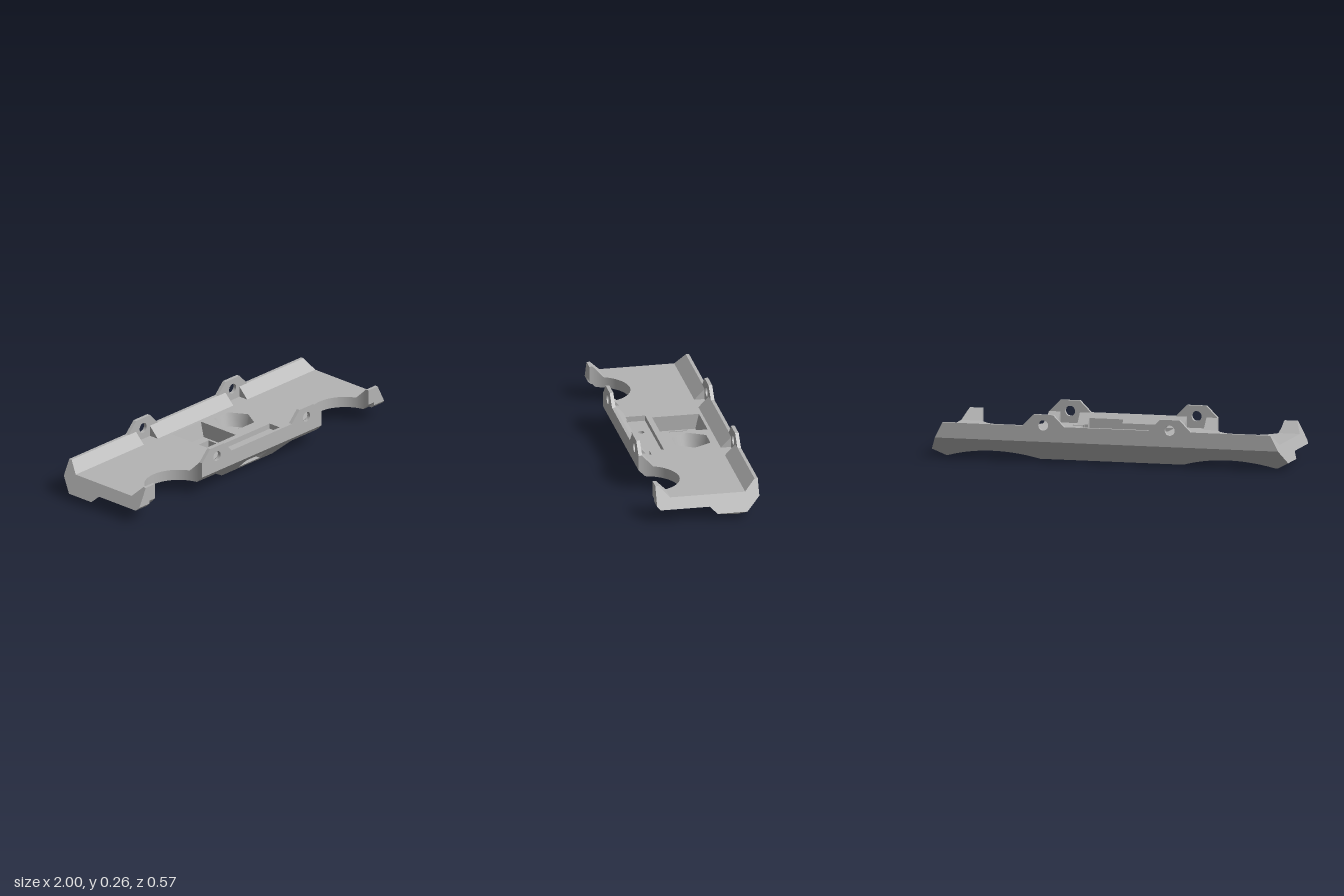
import * as THREE from 'three';

// ---- Small solid-cutting helper (BSP tree) ----
const EPS = 1e-5;
const flipPoly = (q) => ({
  v: q.v.map((a) => ({ p: a.p, n: a.n.clone().negate() })).reverse(),
  n: q.n.clone().negate(), w: -q.w,
});

function toPolys(geometry) {
  const g = geometry.index ? geometry.toNonIndexed() : geometry;
  const P = g.attributes.position, N = g.attributes.normal, out = [];
  for (let i = 0; i < P.count; i += 3) {
    const v = [0, 1, 2].map((k) => ({
      p: new THREE.Vector3().fromBufferAttribute(P, i + k),
      n: new THREE.Vector3().fromBufferAttribute(N, i + k),
    }));
    const n = v[1].p.clone().sub(v[0].p).cross(v[2].p.clone().sub(v[0].p));
    if (n.length() < 1e-10) continue;
    n.normalize();
    out.push({ v, n, w: n.dot(v[0].p) });
  }
  return out;
}

function split(plane, poly, coFront, coBack, front, back) {
  const d = poly.v.map((a) => plane.n.dot(a.p) - plane.w);
  const hasF = d.some((t) => t > EPS), hasB = d.some((t) => t < -EPS);
  if (!hasF && !hasB) (plane.n.dot(poly.n) > 0 ? coFront : coBack).push(poly);
  else if (!hasB) front.push(poly);
  else if (!hasF) back.push(poly);
  else {
    const f = [], b = [];
    poly.v.forEach((a, i) => {
      const j = (i + 1) % poly.v.length, c = poly.v[j];
      if (d[i] >= -EPS) f.push(a);
      if (d[i] <= EPS) b.push(a);
      if ((d[i] > EPS && d[j] < -EPS) || (d[i] < -EPS && d[j] > EPS)) {
        const t = d[i] / (d[i] - d[j]);
        const m = { p: a.p.clone().lerp(c.p, t), n: a.n.clone().lerp(c.n, t).normalize() };
        f.push(m);
        b.push(m);
      }
    });
    if (f.length > 2) front.push({ v: f, n: poly.n, w: poly.w });
    if (b.length > 2) back.push({ v: b, n: poly.n, w: poly.w });
  }
}

class Tree {
  constructor(polys) { this.polys = []; if (polys) this.build(polys); }
  build(list) {
    if (!list.length) return;
    if (!this.plane) this.plane = { n: list[0].n.clone(), w: list[0].w };
    const f = [], b = [];
    for (const q of list) split(this.plane, q, this.polys, this.polys, f, b);
    if (f.length) (this.front ??= new Tree()).build(f);
    if (b.length) (this.back ??= new Tree()).build(b);
  }
  invert() {
    this.polys = this.polys.map(flipPoly);
    this.plane.n.negate();
    this.plane.w *= -1;
    this.front?.invert();
    this.back?.invert();
    [this.front, this.back] = [this.back, this.front];
  }
  clip(list) {
    if (!this.plane) return list;
    let f = [], b = [];
    for (const q of list) split(this.plane, q, f, b, f, b);
    if (this.front) f = this.front.clip(f);
    b = this.back ? this.back.clip(b) : [];
    return f.concat(b);
  }
  clipTo(t) {
    this.polys = t.clip(this.polys);
    this.front?.clipTo(t);
    this.back?.clipTo(t);
  }
  all() {
    return [...this.polys, ...(this.front ? this.front.all() : []), ...(this.back ? this.back.all() : [])];
  }
}

function subtract(A, B) {
  const a = new Tree(A), b = new Tree(B);
  a.invert(); a.clipTo(b); b.clipTo(a);
  b.invert(); b.clipTo(a); b.invert();
  a.build(b.all()); a.invert();
  return a.all();
}

function intersect(A, B) {
  const a = new Tree(A), b = new Tree(B);
  a.invert(); b.clipTo(a); b.invert();
  a.clipTo(b); b.clipTo(a);
  a.build(b.all()); a.invert();
  return a.all();
}

function toGeometry(polys) {
  const pos = [], nor = [];
  for (const q of polys)
    for (let i = 2; i < q.v.length; i++)
      for (const a of [q.v[0], q.v[i - 1], q.v[i]]) {
        pos.push(...a.p.toArray());
        nor.push(...a.n.toArray());
      }
  const g = new THREE.BufferGeometry();
  g.setAttribute('position', new THREE.Float32BufferAttribute(pos, 3));
  g.setAttribute('normal', new THREE.Float32BufferAttribute(nor, 3));
  return g;
}

// ---- Shape helpers ----
const outline = (pts) => new THREE.Shape(pts.map(([a, b]) => new THREE.Vector2(a, b)));
const extrude = (shape, depth) =>
  new THREE.ExtrudeGeometry(shape, { depth, bevelEnabled: false, curveSegments: 16 });
// (z, y) section swept along x
const alongX = (pts, x0, x1) =>
  extrude(outline(pts.map(([z, y]) => [-z, y])), x1 - x0).rotateY(Math.PI / 2).translate(x0, 0, 0);
// (x, y) section swept along z
const alongZ = (pts, z0, z1) => extrude(outline(pts), z1 - z0).translate(0, 0, z0);
const box = (x0, x1, y0, y1, z0, z1) =>
  new THREE.BoxGeometry(x1 - x0, y1 - y0, z1 - z0)
    .translate((x0 + x1) / 2, (y0 + y1) / 2, (z0 + z1) / 2);
const drum = (x, z, y0, y1, r0, r1, sides) =>
  new THREE.CylinderGeometry(r1, r0, y1 - y0, sides)
    .rotateY(Math.PI / 2).translate(x, (y0 + y1) / 2, z);

export function createModel() {
  const grey = new THREE.MeshStandardMaterial({ color: 0xb4b4b4 });
  grey.name = 'plain grey';
  const group = new THREE.Group();
  group.name = 'basePlate';

  // Trough section trimmed by the slanted ends
  const section = [[-0.173, 0], [0.19, 0], [0.283, 0.093], [0.283, 0.195], [0.265, 0.195],
    [0.207, 0.135], [-0.207, 0.135], [-0.265, 0.195], [-0.283, 0.195], [-0.283, 0.11]];
  const ends = [[-0.93, 0], [0.93, 0], [1, 0.037], [0.92, 0.195], [-0.92, 0.195], [-1, 0.037]];
  const lift = ends.map(([x, y]) => [x, y]);
  let body = intersect(toPolys(alongX(section, -1.1, 1.1)), toPolys(alongZ(lift, -0.4, 0.4)));

  const cuts = [
    // front lower bevel
    alongX([[0.153, -0.02], [0.303, 0.13], [0.36, -0.02]], -0.89, 0.89),
  ];
  for (const s of [-1, 1]) {
    cuts.push(
      drum(s * 0.66, 0.21, -0.05, 0.075, 0.512, 0.387, 96), // conical scoop underneath
      drum(s * 0.66, 0.285, -0.2, 0.4, 0.187, 0.187, 64), // round side cutout
    );
    const [x0, x1] = s > 0 ? [0.3, 0.41] : [-0.41, -0.3];
    cuts.push(box(x0, x1, 0.135, 0.3, 0.2, 0.4), box(x0, x1, 0.135, 0.3, -0.4, -0.2)); // tab gaps
  }
  cuts.push(
    // deck pocket with its window
    alongX([[-0.195, 0.155], [-0.17, 0.05], [0.05, 0.05], [0.073, 0.155]], -0.205, 0.025),
    box(-0.19, 0.01, -0.1, 0.1, -0.12, -0.02),
    // hexagonal seat with its bore
    drum(0.16, -0.07, 0.06, 0.16, 0.092, 0.118, 6),
    drum(0.16, -0.07, -0.1, 0.1, 0.068, 0.068, 40),
    // stepped shallow tray behind the front wall
    box(-0.24, 0.26, 0.105, 0.3, 0.1, 0.21),
    box(-0.17, 0.05, 0.105, 0.3, 0.2, 0.222),
    box(0.05, 0.24, 0.105, 0.3, 0.2, 0.24),
    box(0.25, 0.32, 0.105, 0.3, 0.18, 0.2),
    drum(-0.08, 0.155, -0.1, 0.12, 0.018, 0.018, 20),
    // slot in the front bevel
    box(-0.083, 0.08, 0.02, 0.073, 0.14, 0.4),
  );
  for (const c of cuts) body = subtract(body, toPolys(c));
  const plate = new THREE.Mesh(toGeometry(body), grey);
  plate.name = 'plate';
  group.add(plate);

  // Four drilled mounting tabs
  const tab = outline([[-0.055, 0.135], [0.055, 0.135], [0.055, 0.195], [0.117, 0.195],
    [0.055, 0.258], [-0.055, 0.258], [-0.117, 0.195], [-0.055, 0.195]]);
  tab.holes.push(new THREE.Path().absarc(0, 0.2, 0.028, 0, Math.PI * 2, true));
  const tabGeometry = extrude(tab, 0.02);
  for (const x of [-0.355, 0.355])
    for (const [z, side] of [[0.263, 'front'], [-0.283, 'back']]) {
      const mesh = new THREE.Mesh(tabGeometry, grey);
      mesh.name = side + (x > 0 ? 'LeftTab' : 'RightTab');
      mesh.position.set(x, 0, z);
      group.add(mesh);
    }
  return group;
}
